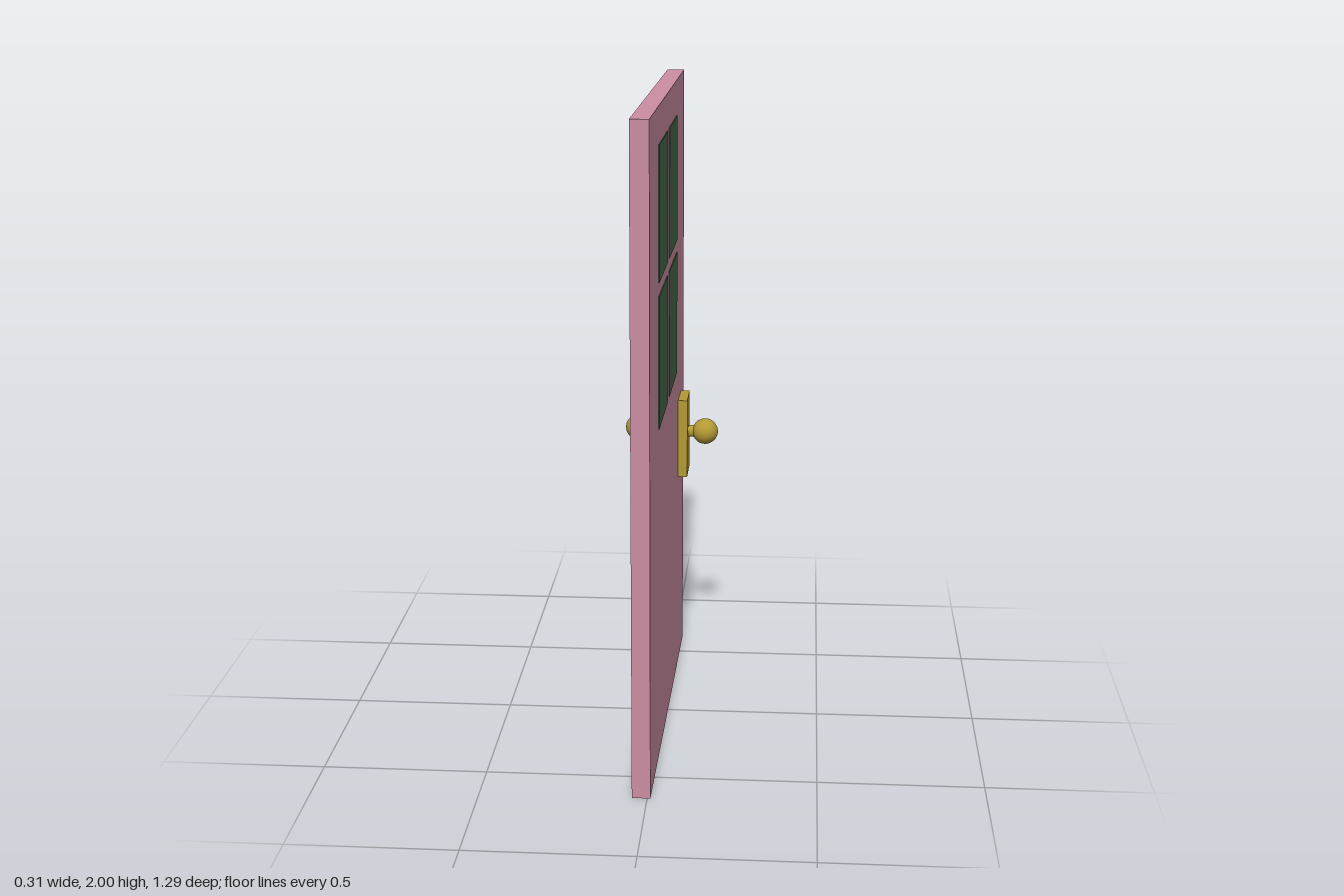
import * as THREE from 'three';

const material = (name, color) => {
  const m = new THREE.MeshStandardMaterial({ color });
  m.name = name;
  return m;
};

function addMesh(parent, name, geometry, mat, x, y, z) {
  const mesh = new THREE.Mesh(geometry, mat);
  mesh.name = name;
  mesh.position.set(x, y, z);
  parent.add(mesh);
  return mesh;
}

export function createModel() {
  const pink = material('pink paint', 0xcc8ea3);
  const green = material('green glass', 0x466a4b);
  const brass = material('brass', 0xb39a35);

  const model = new THREE.Group();
  model.name = 'door';

  // Door leaf, standing slightly ajar
  const leaf = new THREE.Group();
  leaf.name = 'leaf';
  leaf.position.x = -0.01;
  leaf.rotation.y = -0.0125;
  model.add(leaf);
  addMesh(leaf, 'doorPanel', new THREE.BoxGeometry(0.055, 2, 1.285), pink, 0, 1, 0);

  // Four window panes, showing on both faces
  const pane = new THREE.BoxGeometry(0.063, 0.4, 0.308);
  for (const y of [1.25, 1.69]) {
    for (const z of [0.196, -0.174]) addMesh(leaf, 'windowPane', pane, green, -0.0015, y, z);
  }

  // Door knob with back plate and stem; side is +1 or -1 along x
  const plate = new THREE.BoxGeometry(0.045, 0.265, 0.132);
  const stem = new THREE.CylinderGeometry(0.02, 0.02, 0.06, 24).rotateZ(Math.PI / 2);
  const ball = new THREE.SphereGeometry(0.043, 32, 20);
  function addHandle(name, side, plateX, knobX, y, z) {
    const handle = new THREE.Group();
    handle.name = name;
    handle.position.set(0, y, z);
    model.add(handle);
    addMesh(handle, 'backPlate', plate, brass, plateX, -0.01, 0);
    addMesh(handle, 'knobStem', stem, brass, knobX - side * 0.05, 0, 0);
    addMesh(handle, 'knob', ball, brass, knobX, 0, 0);
  }
  addHandle('leftHandle', 1, 0.031, 0.11, 0.81, -0.473);
  addHandle('rightHandle', -1, -0.036, -0.113, 0.825, -0.456);

  return model;
}
